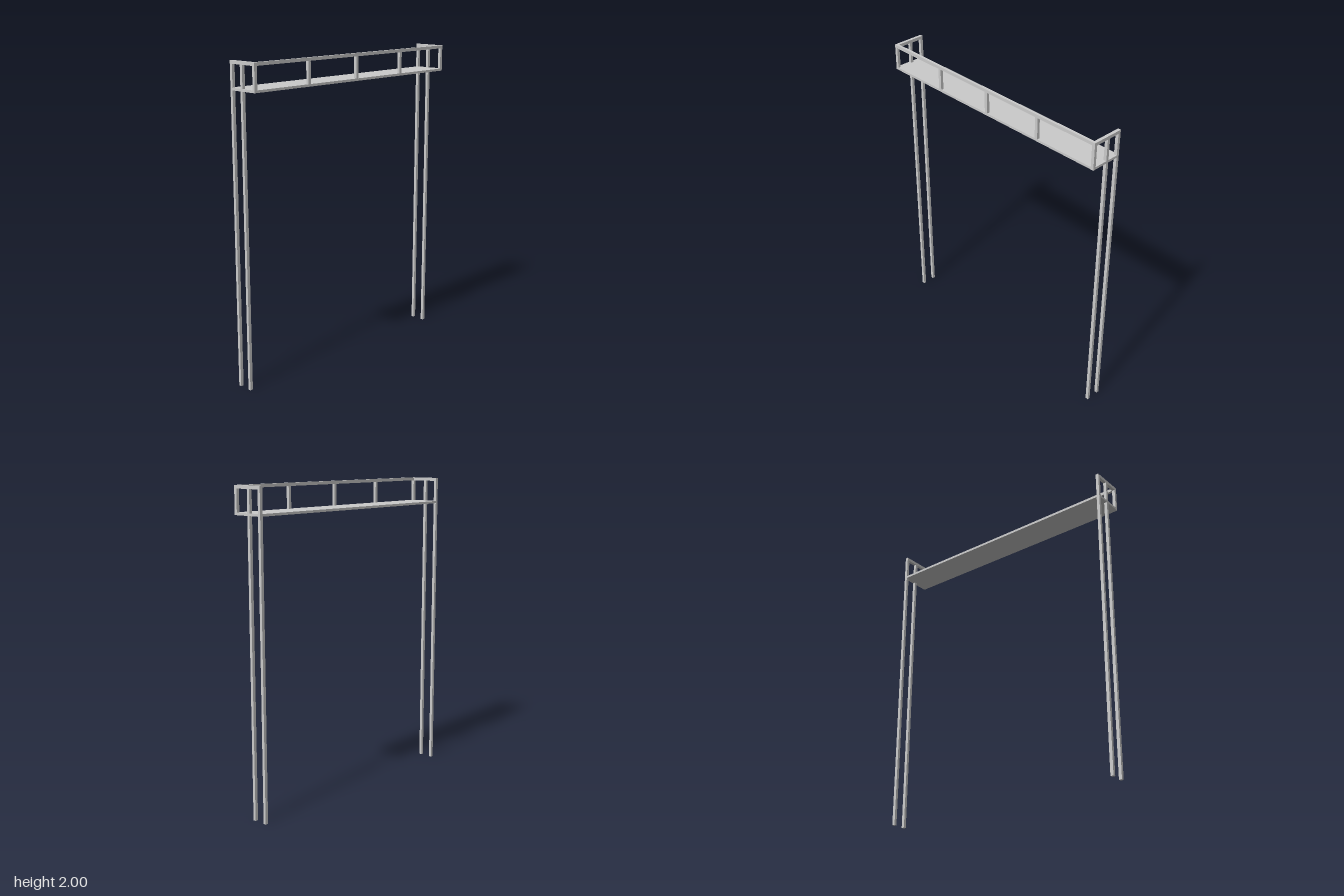
import * as THREE from 'three';

const HALF_X = 0.843, HALF_Z = 0.105, BAR = 0.02, BAR_Z = 0.018;
const DECK_BOTTOM = 1.829, DECK_TOP = 1.844, TOP = 2;

export function createModel() {
  const model = new THREE.Group();
  const material = new THREE.MeshStandardMaterial({ color: 0xcccccc });

  // Box given by its lower and upper limits on each axis
  const box = (name, [x0, x1], [y0, y1], [z0, z1]) => {
    const mesh = new THREE.Mesh(new THREE.BoxGeometry(x1 - x0, y1 - y0, z1 - z0), material);
    mesh.position.set((x0 + x1) / 2, (y0 + y1) / 2, (z0 + z1) / 2);
    mesh.name = name;
    model.add(mesh);
  };

  const frontZ = [HALF_Z - BAR_Z, HALF_Z];
  const railY = [TOP - BAR, TOP];

  // Walkway platform
  box('deck', [-HALF_X, HALF_X], [DECK_BOTTOM, DECK_TOP], [-HALF_Z, HALF_Z]);

  // Front handrail between the side rails
  box('frontRail', [-HALF_X + BAR, HALF_X - BAR], railY, frontZ);

  // Both ends: two tall legs, a front corner post and a side handrail
  for (const [side, x] of [['left', [HALF_X - BAR, HALF_X]], ['right', [-HALF_X, -HALF_X + BAR]]]) {
    box(side + 'BackLeg', x, [0, TOP - BAR], [-HALF_Z, -HALF_Z + BAR_Z]);
    box(side + 'MiddleLeg', x, [0, TOP - BAR], [-0.018, 0]);
    box(side + 'CornerPost', x, [DECK_TOP, TOP - BAR], frontZ);
    box(side + 'SideRail', x, railY, [-HALF_Z, HALF_Z]);
  }

  // Intermediate posts of the front railing
  for (const x of [-0.415, -0.003, 0.409]) {
    box('railPost', [x - BAR / 2, x + BAR / 2], [DECK_TOP, TOP - BAR], frontZ);
  }

  return model;
}
